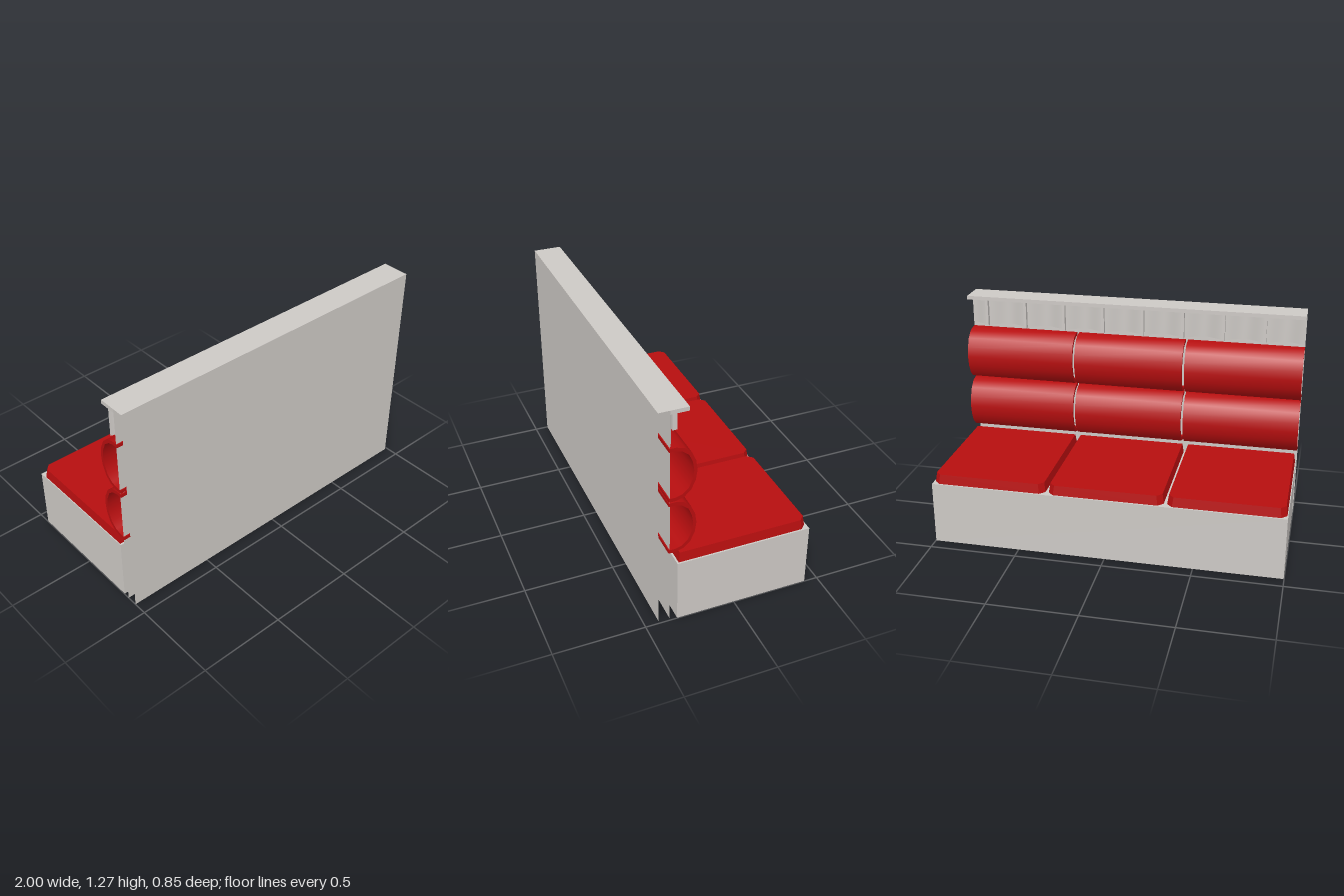
import * as THREE from 'three';
import { toCreasedNormals } from 'three/addons/utils/BufferGeometryUtils.js';

export function createModel() {
  const model = new THREE.Group();
  model.name = 'boothBench';
  const grey = new THREE.MeshStandardMaterial({ color: 0xcdc9c5, side: THREE.DoubleSide });
  grey.name = 'warm grey frame';
  const red = new THREE.MeshStandardMaterial({ color: 0xb60e0f, side: THREE.DoubleSide });
  red.name = 'red upholstery';

  const add = (name, geometry, material) => {
    const mesh = new THREE.Mesh(geometry, material);
    mesh.name = name;
    model.add(mesh);
    return mesh;
  };
  // Box given by its two extreme corners
  const box = (name, [x0, y0, z0], [x1, y1, z1], material) =>
    add(name, new THREE.BoxGeometry(x1 - x0, y1 - y0, z1 - z0), material)
      .position.set((x0 + x1) / 2, (y0 + y1) / 2, (z0 + z1) / 2);

  const L = -1, R = 0.985, H = 1.272;     // extent of the back wall
  const zWall = 0.362, zFront = 0.423;    // its two faces

  // Seat base
  box('seatBase', [-0.998, 0, -0.425], [0.998, 0.364, 0.324], grey);

  // Hollow back wall, open at the ends and at the bottom
  const wall = (name, z, turn) => {
    const mesh = add(name, new THREE.PlaneGeometry(R - L, H), grey);
    mesh.position.set((L + R) / 2, H / 2, z);
    mesh.rotation.y = turn;
  };
  wall('wallOuterFace', zFront, 0);
  wall('wallInnerFace', zWall, Math.PI);
  const wallTop = add('wallTop', new THREE.PlaneGeometry(R - L, zFront - zWall), grey);
  wallTop.rotation.x = -Math.PI / 2;
  wallTop.position.set((L + R) / 2, H, (zFront + zWall) / 2);

  // Ledge overhanging the seat
  box('topLedge', [L, 1.25, 0.265], [R, H, zWall], grey);

  // Fluted panel under the ledge, crests behind the slats
  const pitch = 0.2355, firstSlat = -0.775, panelLow = 1.088, panelHigh = 1.25;
  const flutes = new THREE.PlaneGeometry(R - L, panelHigh - panelLow, 100, 1);
  flutes.rotateY(Math.PI);
  flutes.translate((L + R) / 2, (panelLow + panelHigh) / 2, 0);
  const fp = flutes.attributes.position;
  for (let i = 0; i < fp.count; i++) {
    const phase = ((fp.getX(i) - firstSlat) / pitch) * Math.PI * 2;
    fp.setZ(i, 0.339 - 0.02 * Math.cos(phase));
  }
  flutes.computeVertexNormals();
  add('flutedPanel', flutes, grey);

  // Upright slats
  for (let i = 0; i < 8; i++) {
    const x = firstSlat + i * pitch;
    box('slat', [x - 0.008, panelLow, 0.283], [x + 0.008, panelHigh, 0.308], grey);
  }

  // Back rolls: half-round shells, two rows of three
  const half = [[0.368, 0.155], [0.332, 0.155], [0.287, 0.142], [0.251, 0.108], [0.228, 0.056], [0.22, 0]];
  const halfInner = [[0.368, 0.135], [0.335, 0.135], [0.299, 0.125], [0.265, 0.097], [0.245, 0.05], [0.237, 0]];
  const mirrored = (pts) => [...pts, ...pts.slice(0, -1).reverse().map(([z, y]) => [z, -y])];
  const profile = [...mirrored(half), ...mirrored(halfInner).reverse()];
  // Shape x runs along -z so the extrusion runs along +x
  const rollShape = new THREE.Shape(profile.map(([z, y]) => new THREE.Vector2(-z, y)));
  for (const y of [0.59, 0.907]) {
    for (const [x0, x1] of [[L, -0.328], [-0.314, 0.326], [0.34, R]]) {
      const g = new THREE.ExtrudeGeometry(rollShape, { depth: x1 - x0, bevelEnabled: false });
      g.rotateY(Math.PI / 2);
      g.translate(x0, y, 0);
      add('backRoll', toCreasedNormals(g, 0.7), red);
    }
  }

  // Seat cushions: clipped rear corners, sides leaning in slightly
  const zA = -0.415, zB = 0.314, clip = 0.03, thick = 0.055;
  for (const [x0, x1] of [[-0.993, -0.345], [-0.326, 0.322], [0.341, 0.989]]) {
    const w = (x1 - x0) / 2, d = (zB - zA) / 2;
    const shape = new THREE.Shape([
      [-w, -d], [w, -d], [w, d - clip], [w - clip, d], [-w + clip, d], [-w, d - clip],
    ].map(([x, y]) => new THREE.Vector2(x, y)));
    const g = new THREE.ExtrudeGeometry(shape, { depth: thick, bevelEnabled: false });
    const p = g.attributes.position;
    for (let i = 0; i < p.count; i++) {
      if (p.getZ(i) > thick / 2) p.setXY(i, p.getX(i) * (1 - 0.008 / w), p.getY(i) * (1 - 0.008 / d));
    }
    g.rotateX(-Math.PI / 2);
    g.translate((x0 + x1) / 2, 0.364, (zA + zB) / 2);
    g.computeVertexNormals();
    add('seatCushion', g, red);
  }

  return model;
}
